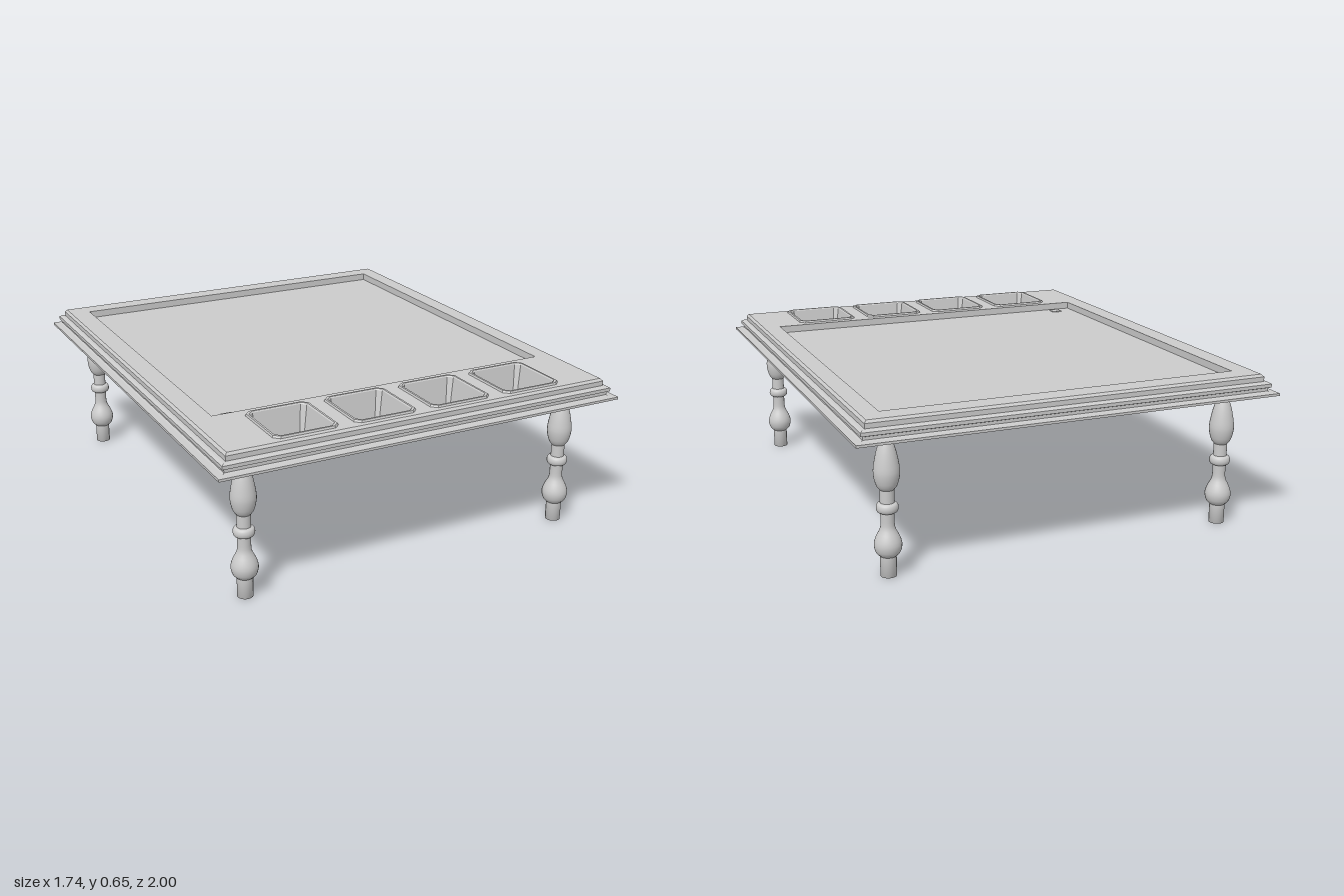
import * as THREE from 'three';

const material = new THREE.MeshStandardMaterial({ color: 0xcccccc, side: THREE.DoubleSide });
const TOP = 0.645;

// Rectangle outline with cut corners, centred on the origin
function outline(hx, hz, c = 0) {
  if (!c) return [[-hx, hz], [hx, hz], [hx, -hz], [-hx, -hz]];
  return [[-hx + c, hz], [hx - c, hz], [hx, hz - c], [hx, -hz + c],
    [hx - c, -hz], [-hx + c, -hz], [-hx, -hz + c], [-hx, hz - c]];
}

// Flat-faced skin through rings of [halfX, halfZ, y, cornerCut]
function loft(sections) {
  const rings = sections.map(([hx, hz, y, c]) => outline(hx, hz, c).map(([x, z]) => [x, y, z]));
  const pos = [];
  for (let i = 0; i < rings.length - 1; i++) {
    const n = rings[i].length;
    for (let j = 0; j < n; j++) {
      const k = (j + 1) % n;
      const a = rings[i][j], b = rings[i][k], c = rings[i + 1][k], d = rings[i + 1][j];
      pos.push(...a, ...d, ...b, ...b, ...d, ...c);
    }
  }
  const geo = new THREE.BufferGeometry();
  geo.setAttribute('position', new THREE.Float32BufferAttribute(pos, 3));
  geo.computeVertexNormals();
  return geo;
}

function add(parent, name, geo, x = 0, y = 0, z = 0) {
  const mesh = new THREE.Mesh(geo, material);
  mesh.name = name;
  mesh.position.set(x, y, z);
  parent.add(mesh);
  return mesh;
}

export function createModel() {
  const group = new THREE.Group();
  group.name = 'trayTable';

  const cupXs = [-0.487, -0.157, 0.172, 0.502], cupZ = 0.785;
  const recess = { x: 0.005, z: -0.125, hx: 0.737, hz: 0.737, floor: 0.615 };

  // Top sheet with openings for the recess and the cups
  const toShape = (pts, cx, cz) => pts.map(([x, z]) => new THREE.Vector2(cx + x, -(cz + z)));
  const sheet = new THREE.Shape(toShape(outline(0.81, 0.94), 0, 0));
  sheet.holes.push(new THREE.Path(toShape(outline(recess.hx, recess.hz), recess.x, recess.z)));
  for (const x of cupXs) sheet.holes.push(new THREE.Path(toShape(outline(0.133, 0.14, 0.022), x, cupZ)));
  add(group, 'topSheet', new THREE.ShapeGeometry(sheet).rotateX(-Math.PI / 2), 0, TOP);

  // Stepped edge moulding, from the top sheet out to the bottom flange
  const edge = [[0.81, TOP], [0.815, 0.644], [0.824, 0.634], [0.824, 0.615], [0.836, 0.614],
    [0.846, 0.608], [0.846, 0.594], [0.836, 0.59], [0.836, 0.578], [0.842, 0.574],
    [0.87, 0.573], [0.87, 0.563], [0.836, 0.563]];
  add(group, 'edgeMoulding', loft(edge.map(([x, y]) => [x, x + 0.13, y])));

  // Shallow recessed panel
  add(group, 'recessedPanel', loft([
    [0, 0, recess.floor],
    [recess.hx, recess.hz, recess.floor],
    [recess.hx, recess.hz, TOP],
  ]), recess.x, 0, recess.z);
  add(group, 'panelMarker', new THREE.BoxGeometry(0.045, 0.004, 0.045), -0.645, recess.floor + 0.002, 0.57);

  // Tapered cups with a slightly raised rim
  for (const x of cupXs) {
    add(group, 'cup', loft([
      [0, 0, 0.517, 0.00001],
      [0.098, 0.105, 0.517, 0.012],
      [0.118, 0.125, 0.648, 0.018],
      [0.122, 0.129, 0.653, 0.02],
      [0.13, 0.137, 0.653, 0.022],
      [0.133, 0.14, TOP, 0.022],
    ]), x, 0, cupZ);
  }

  // Turned legs: foot, lower bulb, ring and pointed upper bulb
  const V = (r, y) => new THREE.Vector2(r, y);
  const curve = (...p) => new THREE.SplineCurve(p.map(([r, y]) => V(r, y))).getPoints(14);
  const legParts = {
    foot: [V(0, 0), V(0.031, 0), V(0.031, 0.082)],
    lowerBulb: curve([0.031, 0.08], [0.046, 0.095], [0.053, 0.125], [0.045, 0.155], [0.03, 0.185], [0.026, 0.21], [0.027, 0.255]),
    ring: curve([0.027, 0.25], [0.038, 0.256], [0.042, 0.27], [0.038, 0.284], [0.027, 0.29]),
    neck: [V(0.027, 0.288), V(0.027, 0.342)],
    upperBulb: curve([0.027, 0.34], [0.04, 0.358], [0.049, 0.395], [0.048, 0.43], [0.036, 0.49], [0.018, 0.54], [0.001, 0.566]),
  };
  for (const sx of [-1, 1]) {
    for (const sz of [-1, 1]) {
      const leg = new THREE.Group();
      leg.name = (sz > 0 ? 'front' : 'back') + (sx > 0 ? 'Left' : 'Right') + 'Leg';
      leg.position.set(sx * 0.712, 0, sz * 0.843);
      for (const [name, profile] of Object.entries(legParts)) add(leg, name, new THREE.LatheGeometry(profile, 32));
      group.add(leg);
    }
  }
  return group;
}
